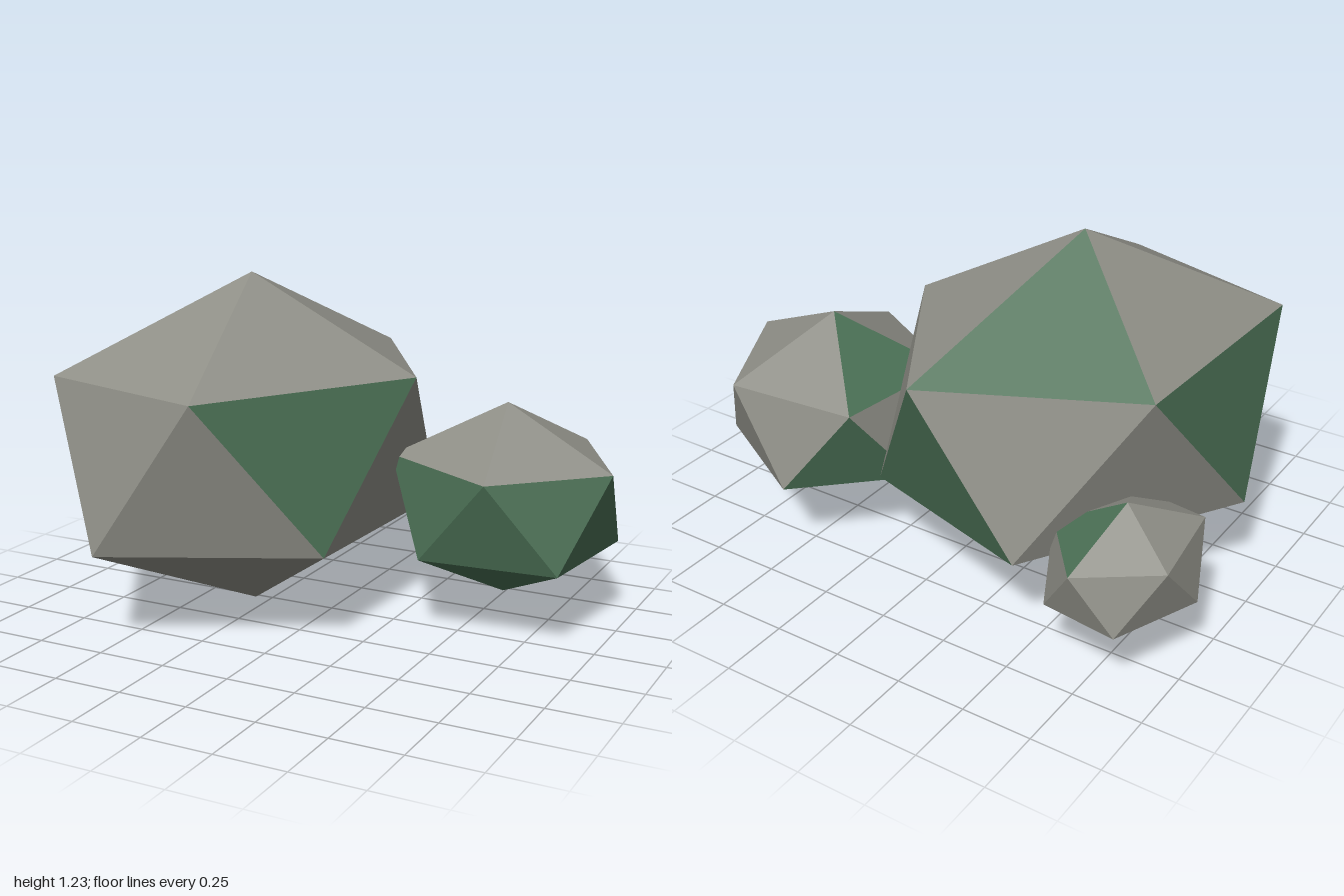
import * as THREE from 'three';

const stone = new THREE.MeshStandardMaterial({ color: 0x8f8f87 });
stone.name = 'stone grey';
const moss = new THREE.MeshStandardMaterial({ color: 0x4a6f54 });
moss.name = 'moss green';

// A stretched icosahedron: the upper ring is given as [x, z] seen clockwise from above,
// the lower ring is its mirror through the centre.
// mossy lists the green faces of each band: cap, down (upper belt), up (lower belt), base.
function rock(name, [cx, cy, cz], radius, ring, mossy) {
  const ringHeight = radius / Math.sqrt(5);
  const apex = [cx, cy + radius, cz];
  const bottom = [cx, cy - radius, cz];
  const U = (i) => [ring[i % 5][0], cy + ringHeight, ring[i % 5][1]];
  const M = (i) => {
    const [x, z] = ring[(i + 3) % 5];
    return [2 * cx - x, cy - ringHeight, 2 * cz - z];
  };

  const bands = {
    cap: (i) => [U(i + 1), U(i), apex],
    down: (i) => [U(i), U(i + 1), M(i)],
    up: (i) => [M(i + 1), M(i), U(i + 1)],
    base: (i) => [M(i), M(i + 1), bottom],
  };

  const geometry = new THREE.BufferGeometry();
  const positions = [];
  for (const [band, face] of Object.entries(bands)) {
    for (let i = 0; i < 5; i++) {
      geometry.addGroup(positions.length / 3, 3, mossy[band].includes(i) ? 1 : 0);
      positions.push(...face(i).flat());
    }
  }
  geometry.setAttribute('position', new THREE.Float32BufferAttribute(positions, 3));
  geometry.computeVertexNormals(); // unshared corners give flat facets

  const mesh = new THREE.Mesh(geometry, [stone, moss]);
  mesh.name = name;
  return mesh;
}

export function createModel() {
  const model = new THREE.Group();
  model.name = 'mossyRocks';

  model.add(rock('largeRock', [-0.31, 0.613, 0.02], 0.613,
    [[-0.8, -0.37], [-0.1, -0.71], [0.31, -0.04], [-0.15, 0.71], [-0.83, 0.51]],
    { cap: [0], down: [2, 4], up: [0], base: [0] }));

  model.add(rock('mediumRock', [0.58, 0.44, -0.23], 0.35,
    [[0.27, -0.55], [0.76, -0.59], [1.0, -0.13], [0.66, 0.195], [0.21, -0.06]],
    { cap: [4], down: [1, 2, 3], up: [1, 2, 4], base: [0, 1, 2, 3] }));

  model.add(rock('smallRock', [-0.76, 0.342, -0.45], 0.22,
    [[-0.725, -0.755], [-0.52, -0.5], [-0.65, -0.185], [-0.925, -0.22], [-0.975, -0.575]],
    { cap: [0], down: [], up: [0], base: [1] }));

  return model;
}
